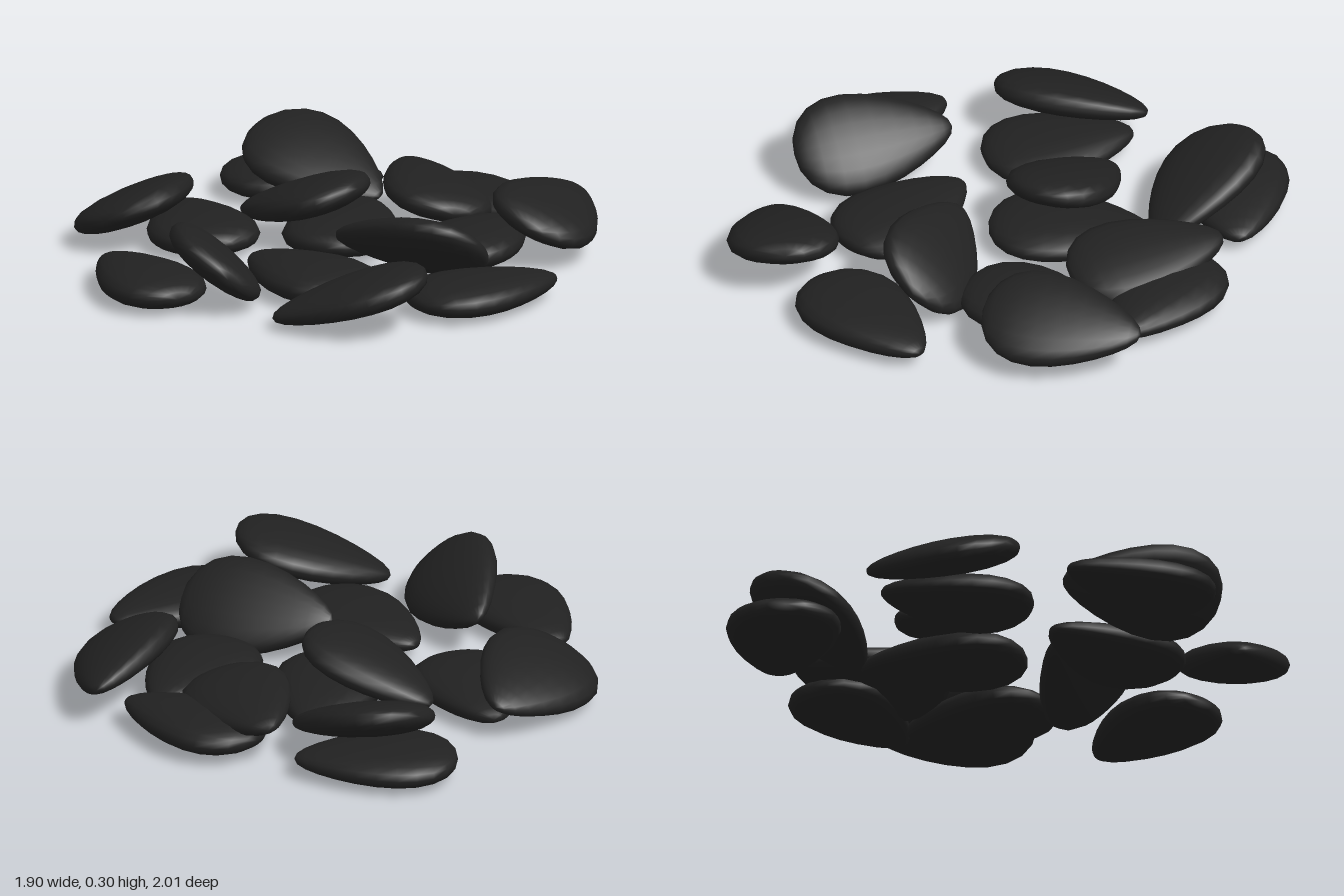
import * as THREE from 'three';
import { mergeVertices } from 'three/addons/utils/BufferGeometryUtils.js';

// Teardrop seed of unit half-length: tip at -z, blunt end at +z
function seedGeometry() {
  let g = new THREE.SphereGeometry(1, 20, 12).rotateX(Math.PI / 2);
  g.deleteAttribute('uv');
  g.deleteAttribute('normal');
  g = mergeVertices(g, 1e-4);
  const p = g.attributes.position;
  for (let i = 0; i < p.count; i++) {
    const y = p.getY(i), z = p.getZ(i);
    // wider towards the blunt end, with a full, rounded rim
    p.setX(i, p.getX(i) * (1 + 0.4 * z) / 1.07);
    p.setY(i, Math.sign(y) * Math.abs(y) ** 0.85 * (1 + 0.2 * z) / 1.02);
  }
  g.computeVertexNormals();
  return g;
}

export function createModel() {
  const model = new THREE.Group();
  model.name = 'seedPile';
  const shell = new THREE.MeshStandardMaterial({ color: 0x212121 });
  shell.name = 'seedBlack';
  const geometry = seedGeometry();
  const rad = THREE.MathUtils.degToRad;

  // tip x, tip z, blunt x, blunt z, centre y, pitch (blunt end up), roll, width
  const seeds = [
    // lying flat
    [0.07, -0.84, -0.52, -0.77, 0.068, 0, 0, 0.42],
    [0.73, -0.43, 0.22, -0.73, 0.08, 0, 0, 0.38],
    [-0.61, -0.42, -0.4, 0.11, 0.068, 0, 0, 0.41],
    [-0.77, 0.27, -0.44, 0.76, 0.068, 0, 0, 0.37],
    [-0.25, 0.18, 0.19, 0.57, 0.068, 0, 0, 0.41],
    [0.87, 0.27, 0.41, 0.67, 0.068, 0, 0, 0.4],
    [0.62, -0.41, 0.41, 0.13, 0.068, 0, 0, 0.4],
    [0.05, -0.54, 0.0, 0.07, 0.068, 0, 0, 0.42],
    // leaning on their neighbours
    [0.1, -0.55, -0.39, -0.82, 0.165, 17, -17, 0.42],
    [0.17, -0.79, 0.42, -0.25, 0.135, -3, -11, 0.4],
    [-0.62, -0.47, -0.81, 0.08, 0.14, 0, 23, 0.44],
    [-0.47, 0.23, -0.25, 0.79, 0.16, 0, -38, 0.39],
    [0.05, 0.17, 0.62, 0.31, 0.155, 0, -40, 0.4],
    [0.83, -0.53, 0.73, 0.05, 0.165, 2, -24, 0.4],
    [-0.37, -0.35, 0.09, -0.1, 0.165, 18, 5, 0.39],
    [-0.08, 0.84, 0.48, 0.78, 0.125, 17, 0, 0.41],
  ];
  seeds.forEach(([tx, tz, bx, bz, y, pitch, roll, width], i) => {
    const seed = new THREE.Mesh(geometry, shell);
    seed.name = 'seed' + (i + 1);
    const length = Math.hypot(bx - tx, bz - tz) / Math.cos(rad(pitch));
    seed.scale.set(width / 2, 0.066, length / 2);
    seed.position.set((tx + bx) / 2, y, (tz + bz) / 2);
    seed.rotation.set(-rad(pitch), Math.atan2(bx - tx, bz - tz), rad(roll), 'YXZ');
    model.add(seed);
  });
  return model;
}
